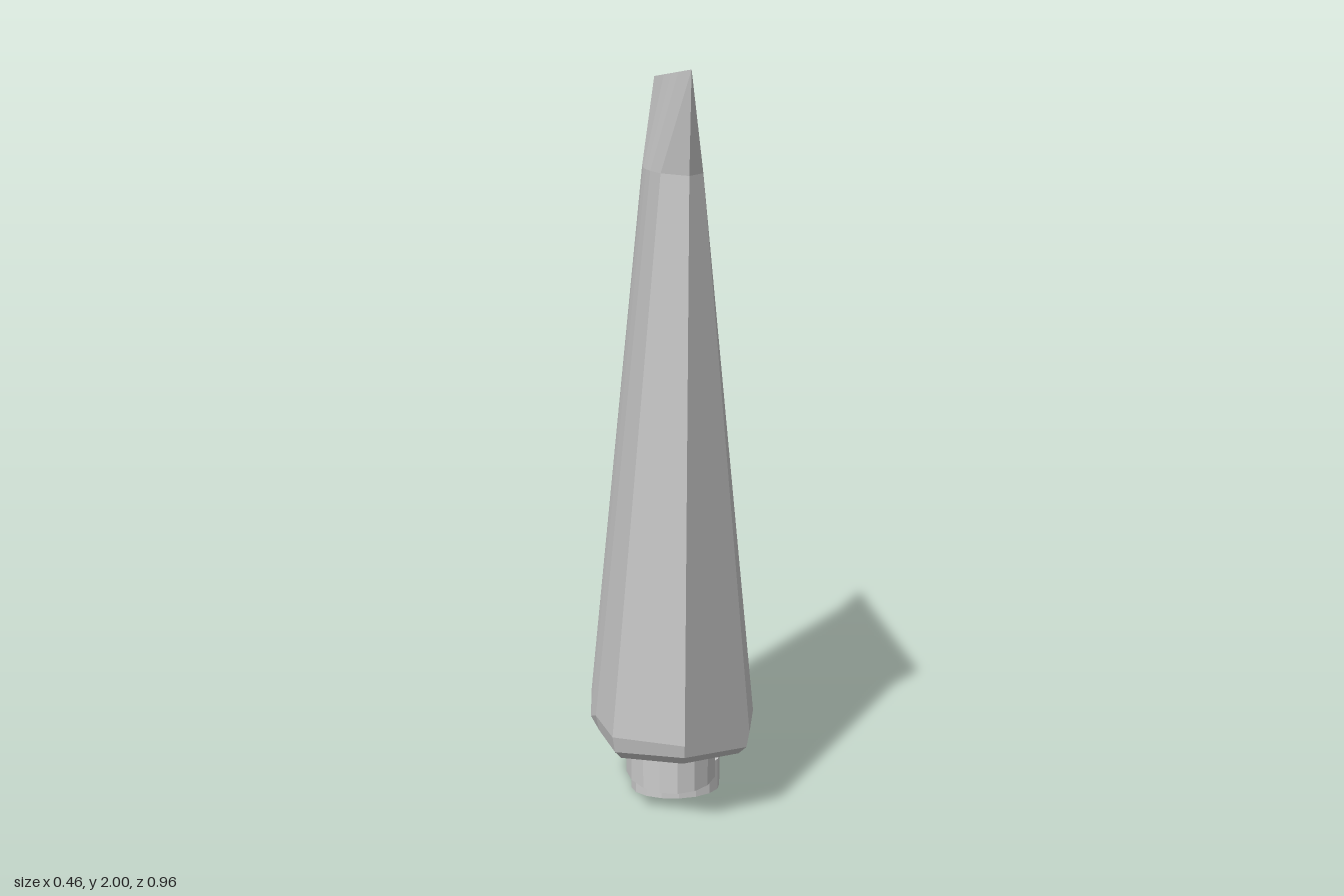
import * as THREE from 'three';

const smooth = new THREE.MeshStandardMaterial({ color: 0xcccccc });
const faceted = new THREE.MeshStandardMaterial({ color: 0xcccccc, flatShading: true, side: THREE.DoubleSide });

// Mirror a quarter outline [x, y, z] (from +x round to +z) into a closed ring
function ring(q) {
  const flip = (list, sx, sz) => list.map(([x, y, z]) => [x * sx, y, z * sz]);
  const back = [...q].reverse();
  return [...q, ...flip(back.slice(1), -1, 1), ...flip(q.slice(1), -1, -1), ...flip(back.slice(1, -1), 1, -1)];
}

// Skin a stack of rings from bottom to top; every four-sided face has one shared normal
function loft(rings) {
  const n = rings[0].length;
  const pos = [], nor = [];
  const quad = (...corners) => {
    const [a, b, c, d] = corners.map((p) => new THREE.Vector3(...p));
    const normal = c.clone().sub(a).cross(d.clone().sub(b)).normalize();
    for (const p of [a, b, c, a, c, d]) {
      pos.push(...p);
      nor.push(...normal);
    }
  };
  for (let r = 0; r < rings.length - 1; r++) {
    for (let i = 0; i < n; i++) {
      const j = (i + 1) % n;
      quad(rings[r + 1][j], rings[r][j], rings[r][i], rings[r + 1][i]);
    }
  }
  // Flat underside, in strips across the width
  const base = rings[0];
  for (let i = 0; i < n / 2; i++) {
    const k = (n - i) % n, l = n - i - 1;
    quad(base[i], base[i + 1], base[l], base[k]);
  }
  const g = new THREE.BufferGeometry();
  g.setAttribute('position', new THREE.Float32BufferAttribute(pos, 3));
  g.setAttribute('normal', new THREE.Float32BufferAttribute(nor, 3));
  return g;
}

export function createModel() {
  const group = new THREE.Group();
  const add = (name, geometry, material, x = 0, y = 0) => {
    const mesh = new THREE.Mesh(geometry, material);
    mesh.name = name;
    mesh.position.set(x, y, 0);
    group.add(mesh);
  };

  // Squeeze tube: rounded shoulder, tapering body, flared crimp edge
  const sections = [
    [[0.16, 0.18, 0], [0.155, 0.18, 0.08], [0.13, 0.18, 0.2], [0, 0.18, 0.27]],
    [[0.198, 0.188, 0], [0.187, 0.19, 0.1], [0.16, 0.19, 0.245], [0, 0.195, 0.315]],
    [[0.22, 0.205, 0], [0.21, 0.215, 0.105], [0.178, 0.215, 0.265], [0, 0.223, 0.345]],
    [[0.228, 0.22, 0], [0.22, 0.26, 0.105], [0.185, 0.26, 0.272], [0, 0.26, 0.357]],
    [[0.067, 1.75, 0], [0.065, 1.75, 0.105], [0.054, 1.75, 0.272], [0, 1.75, 0.436]],
    [[0, 2, 0], [0, 2, 0.185], [0, 2, 0.478], [0, 2, 0.478]],
  ];
  add('tubeBody', loft(sections.map(ring)), smooth);

  // Oval neck under the shoulder
  add('neck', new THREE.CylinderGeometry(1, 1, 0.14, 16).scale(0.128, 1, 0.178), faceted, 0, 0.12);

  // Hollow oval nozzle, open below and set slightly to one side of the neck
  const profile = [[1, 0], [1, 0.09], [0, 0.09]].map(([r, y]) => new THREE.Vector2(r, y));
  add('nozzle', new THREE.LatheGeometry(profile, 16).scale(0.127, 1, 0.095), faceted, 0.013);

  return group;
}
